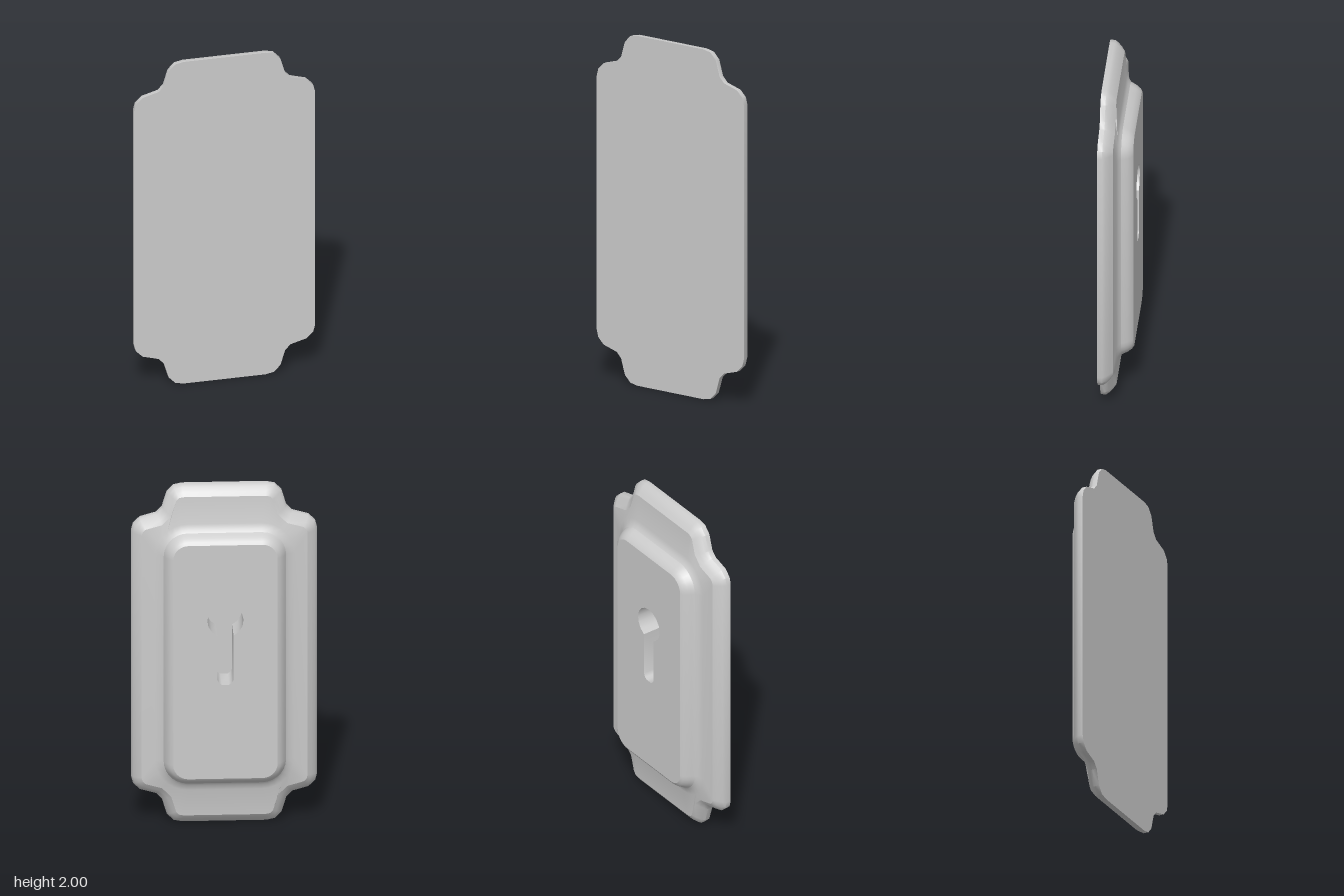
import * as THREE from 'three';
import { toCreasedNormals } from 'three/addons/utils/BufferGeometryUtils.js';

const V = (x, y) => new THREE.Vector2(x, y);
const material = new THREE.MeshStandardMaterial({ color: 0xcccccc });
const CENTRE_Y = 1;

// Mirror one corner into a closed counter-clockwise loop
function mirrorCorner(corner) {
  const back = [...corner].reverse();
  return [
    ...corner,
    ...back.map(p => V(-p.x, p.y)),
    ...corner.map(p => V(-p.x, -p.y)),
    ...back.map(p => V(p.x, -p.y)),
  ];
}

// Move a loop inwards by a constant distance
function inset(loop, d) {
  const n = loop.length;
  return loop.map((p, i) => {
    const a = p.clone().sub(loop[(i + n - 1) % n]).normalize();
    const b = loop[(i + 1) % n].clone().sub(p).normalize();
    const normal = V(-a.y - b.y, a.x + b.x);
    return p.clone().addScaledVector(normal, d / (1 + a.dot(b)));
  });
}

function roundedRect(hx, hy, r) {
  const corner = [];
  for (let i = 0; i < 8; i++) {
    const t = (i / 7) * Math.PI / 2;
    corner.push(V(hx - r + r * Math.cos(t), hy - r + r * Math.sin(t)));
  }
  return mirrorCorner(corner);
}

// Skin a series of [loop, z] rings with equal point counts
function loft(rings) {
  const n = rings[0][0].length, pos = [], index = [];
  for (const [loop, z] of rings) for (const p of loop) pos.push(p.x, p.y, z);
  for (let k = 0; k < rings.length - 1; k++) {
    for (let i = 0; i < n; i++) {
      const a = k * n + i, b = k * n + (i + 1) % n;
      index.push(a, a + n, b, b, a + n, b + n);
    }
  }
  const geo = new THREE.BufferGeometry();
  geo.setAttribute('position', new THREE.Float32BufferAttribute(pos, 3));
  geo.setIndex(index);
  return toCreasedNormals(geo, 0.65);
}

// Flat face at z, facing the front or the back
function cap(loop, z, facesBack, hole) {
  const shape = new THREE.Shape(loop);
  if (hole) shape.holes.push(new THREE.Path(hole));
  const geo = new THREE.ShapeGeometry(shape).translate(0, 0, z);
  if (facesBack) {
    geo.index.array.reverse();
    geo.computeVertexNormals();
  }
  return geo;
}

export function createModel() {
  const group = new THREE.Group();
  const add = (name, geo) => {
    const mesh = new THREE.Mesh(geo, material);
    mesh.name = name;
    mesh.position.y = CENTRE_Y;
    group.add(mesh);
  };

  // Plate outline with notched, rounded corners
  const outline = mirrorCorner([
    V(0.514, 0.725), V(0.503, 0.767), V(0.466, 0.804), V(0.375, 0.83),
    V(0.344, 0.862), V(0.317, 0.952), V(0.28, 0.99), V(0.233, 1),
  ]);
  const rimTop = inset(outline, 0.056);
  add('frontFace', cap(outline, 0.09, false));
  add('plateRim', loft([
    [outline, 0.09], [outline, 0.062], [inset(outline, 0.012), 0.044],
    [inset(outline, 0.034), 0.023], [rimTop, 0.007],
  ]));

  // Gently rising surround that sweeps up to the raised panel
  const panel = d => roundedRect(0.334 + d, 0.738 + d, 0.13 + d);
  add('surround', loft([
    [rimTop, 0.007], [panel(0.05), -0.005], [panel(0.02), -0.014], [panel(0.004), -0.026],
  ]));

  // Raised panel with a softened edge
  const panelTop = panel(-0.046);
  add('panelEdge', loft([
    [panel(0.004), -0.026], [panel(-0.004), -0.042], [panel(-0.014), -0.06],
    [panel(-0.03), -0.08], [panelTop, -0.09],
  ]));

  // Keyhole recess: round head above a narrow slot
  const r = 0.1, w = 0.045, headY = 0.245, slotEnd = -0.135;
  const keyhole = [];
  const start = -Math.acos(w / r);
  for (let i = 0; i <= 14; i++) {
    const t = start + (i / 14) * (Math.PI - 2 * start);
    keyhole.push(V(r * Math.cos(t), headY + r * Math.sin(t)));
  }
  keyhole.push(
    V(-w, slotEnd + 0.03), V(-w + 0.01, slotEnd + 0.01), V(-w + 0.025, slotEnd),
    V(w - 0.025, slotEnd), V(w - 0.01, slotEnd + 0.01), V(w, slotEnd + 0.03),
  );
  add('panelFace', cap(panelTop, -0.09, true, keyhole));
  add('keyholeWall', loft([[keyhole, -0.09], [keyhole, 0.08]]));
  add('keyholeFloor', cap(keyhole, 0.08, true));

  return group;
}
